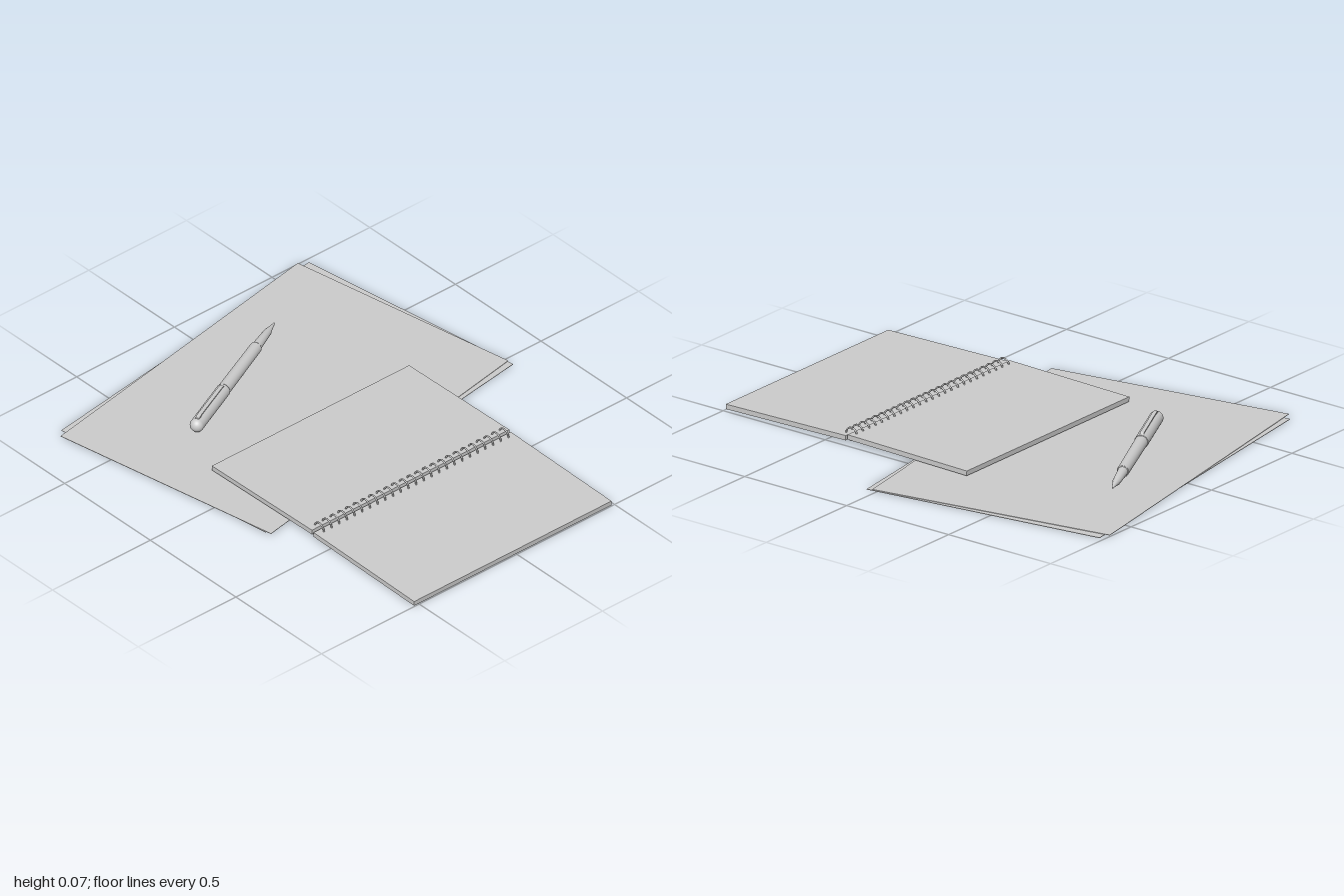
import * as THREE from 'three';

const material = new THREE.MeshStandardMaterial({ color: 0xcccccc });

function add(parent, name, geometry, x = 0, y = 0, z = 0) {
  const mesh = new THREE.Mesh(geometry, material);
  mesh.name = name;
  mesh.position.set(x, y, z);
  parent.add(mesh);
  return mesh;
}

// Two loose sheets, turned slightly against each other
function createSheets() {
  const sheets = new THREE.Group();
  sheets.name = 'looseSheets';
  const paper = new THREE.BoxGeometry(1.036, 0.002, 1.465);
  add(sheets, 'lowerSheet', paper, -0.3625, 0.001, -0.019).rotation.y = THREE.MathUtils.degToRad(8.2);
  add(sheets, 'upperSheet', paper, -0.36, 0.005, -0.002).rotation.y = THREE.MathUtils.degToRad(10.2);
  return sheets;
}

// Open notebook: two leaning page blocks with covers, bound by wire rings
function createNotebook() {
  const notebook = new THREE.Group();
  notebook.name = 'notebook';
  const depth = 1.01, midZ = 0.02;
  const halves = [
    { name: 'rightHalf', x: 0.11, y: 0.025, width: 0.585, tilt: 0.017 },
    { name: 'leftHalf', x: 0.705, y: 0.0185, width: 0.588, tilt: -0.019 },
  ];
  for (const h of halves) {
    const half = new THREE.Group();
    half.name = h.name;
    half.position.set(h.x, h.y, midZ);
    half.rotation.z = h.tilt;
    add(half, 'pages', new THREE.BoxGeometry(h.width, 0.016, depth), 0, 0.002, 0);
    add(half, 'cover', new THREE.BoxGeometry(h.width, 0.004, depth), 0, -0.008, 0);
    notebook.add(half);
  }
  const ring = new THREE.TorusGeometry(0.026, 0.0035, 8, 28);
  const count = 25;
  for (let i = 0; i < count; i++) {
    const z = -0.455 + (0.945 * i) / (count - 1);
    add(notebook, 'bindingRing', ring, 0.406, 0.033, z);
  }
  return notebook;
}

// Pen built from its tip along +z
function createPen() {
  const pen = new THREE.Group();
  pen.name = 'pen';
  const turned = (name, profile) => {
    const points = profile.map(([r, s]) => new THREE.Vector2(r, s));
    add(pen, name, new THREE.LatheGeometry(points, 32).rotateX(Math.PI / 2));
  };
  turned('tip', [[0, 0], [0.003, 0.002], [0.013, 0.06], [0.013, 0.066]]);
  turned('grip', [[0, 0.064], [0.015, 0.064], [0.02, 0.178]]);
  turned('barrel', [[0, 0.176], [0.022, 0.176], [0.024, 0.18], [0.026, 0.495]]);
  const cap = [[0, 0.49], [0.027, 0.49], [0.028, 0.494], [0.028, 0.748]];
  for (let i = 1; i <= 8; i++) {
    const a = (i / 8) * Math.PI / 2;
    cap.push([Math.max(0, 0.028 * Math.cos(a)), 0.748 + 0.026 * Math.sin(a)]);
  }
  turned('cap', cap);

  // Clip: side outline extruded across its width
  const outline = new THREE.Shape();
  outline.moveTo(0.5, 0.027);
  outline.lineTo(0.51, 0.033);
  outline.lineTo(0.72, 0.035);
  outline.lineTo(0.745, 0.031);
  outline.lineTo(0.75, 0.02);
  outline.lineTo(0.73, 0.02);
  outline.lineTo(0.72, 0.03);
  outline.lineTo(0.52, 0.029);
  const clip = new THREE.ExtrudeGeometry(outline, { depth: 0.016, bevelEnabled: false });
  clip.translate(0, 0, -0.008).rotateY(-Math.PI / 2);
  add(pen, 'clip', clip);

  pen.position.set(-0.735, 0.03, -0.28);
  pen.rotation.order = 'YXZ';
  pen.rotation.set(-0.01, Math.atan2(0.33, 0.7), 0);
  return pen;
}

export function createModel() {
  const model = new THREE.Group();
  model.name = 'stationerySet';
  model.add(createSheets(), createNotebook(), createPen());
  return model;
}
